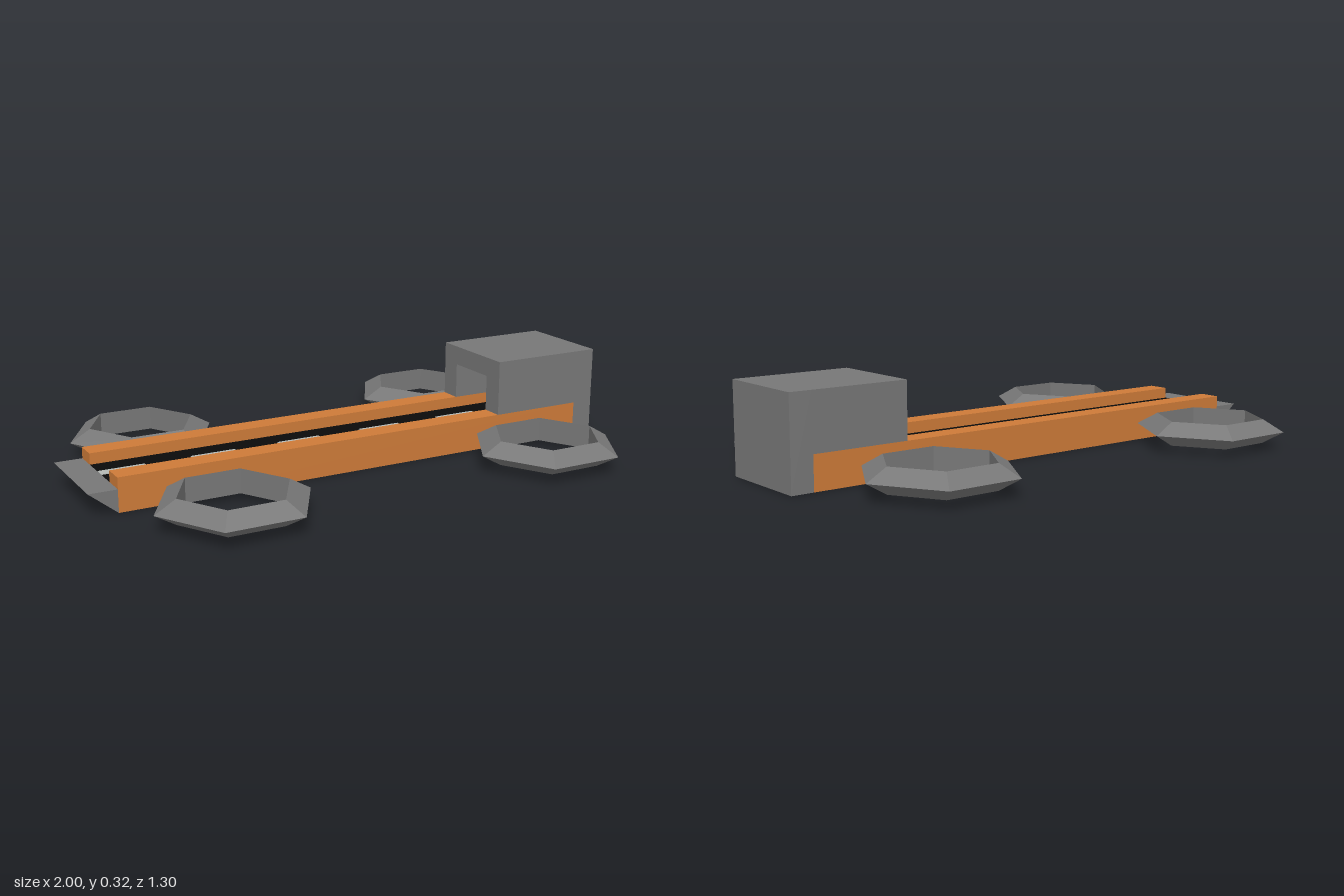
import * as THREE from 'three';

const material = (color) => new THREE.MeshStandardMaterial({ color });

export function createModel() {
  const model = new THREE.Group();
  const grey = material(0x777777);
  const orange = material(0xcc7a38);
  const black = material(0x0a0a0a);
  const pale = material(0xb4b8b4);
  const ringGrey = grey.clone();
  ringGrey.flatShading = true;

  const add = (name, geometry, mat) => {
    const mesh = new THREE.Mesh(geometry, mat);
    mesh.name = name;
    model.add(mesh);
    return mesh;
  };
  // Box given by its limits on each axis
  const block = (name, mat, [x0, x1], [y0, y1], [z0, z1]) =>
    add(name, new THREE.BoxGeometry(x1 - x0, y1 - y0, z1 - z0), mat)
      .position.set((x0 + x1) / 2, (y0 + y1) / 2, (z0 + z1) / 2);
  const polygon = (points) => new THREE.Shape(points.map(([x, y]) => new THREE.Vector2(x, y)));

  const half = 0.18, inner = 0.1, start = -0.9, end = 0.92;
  const deckTop = 0.08, railTop = 0.12;

  // Runway: base, dark surface and dashed centre line
  block('runwayBase', grey, [start, end], [0, deckTop - 0.005], [-inner, inner]);
  block('runwaySurface', black, [start, end], [deckTop - 0.005, deckTop], [-inner, inner]);
  for (let i = 0; i < 6; i++) {
    const x = start + i * 0.331;
    block('runwayDash', pale, [x, x + 0.165], [deckTop, deckTop + 0.002], [-0.02, 0.02]);
  }

  // Side rails
  block('leftRail', orange, [start, end], [0, railTop], [inner, half]);
  block('rightRail', orange, [start, end], [0, railTop], [-half, -inner]);

  // Wedge-shaped lip at the open end
  const lip = new THREE.ExtrudeGeometry(polygon([[-1, deckTop], [start, 0], [start, deckTop]]),
    { depth: 2 * half, bevelEnabled: false });
  lip.translate(0, 0, -half);
  add('endLip', lip, grey);

  // Hangar: arch resting on the rails, closed by a rear wall
  const arch = new THREE.ExtrudeGeometry(polygon([
    [-half, railTop], [-inner, railTop], [-inner, 0.25], [inner, 0.25],
    [inner, railTop], [half, railTop], [half, 0.32], [-half, 0.32],
  ]), { depth: end - 0.57, bevelEnabled: false });
  arch.rotateY(Math.PI / 2).translate(0.57, 0, 0);
  add('hangarArch', arch, grey);
  block('hangarRearWall', grey, [end, 1], [0, 0.32], [-half, half]);

  // Four hexagonal rings with a triangular section
  for (const x of [-0.6, 0.613]) {
    for (const side of [-1, 1]) {
      const ring = new THREE.TorusGeometry(0.22, 0.05, 3, 6).rotateX(Math.PI / 2);
      add('hoverRing', ring, ringGrey).position.set(x, 0.0625, side * 0.415);
    }
  }
  return model;
}
